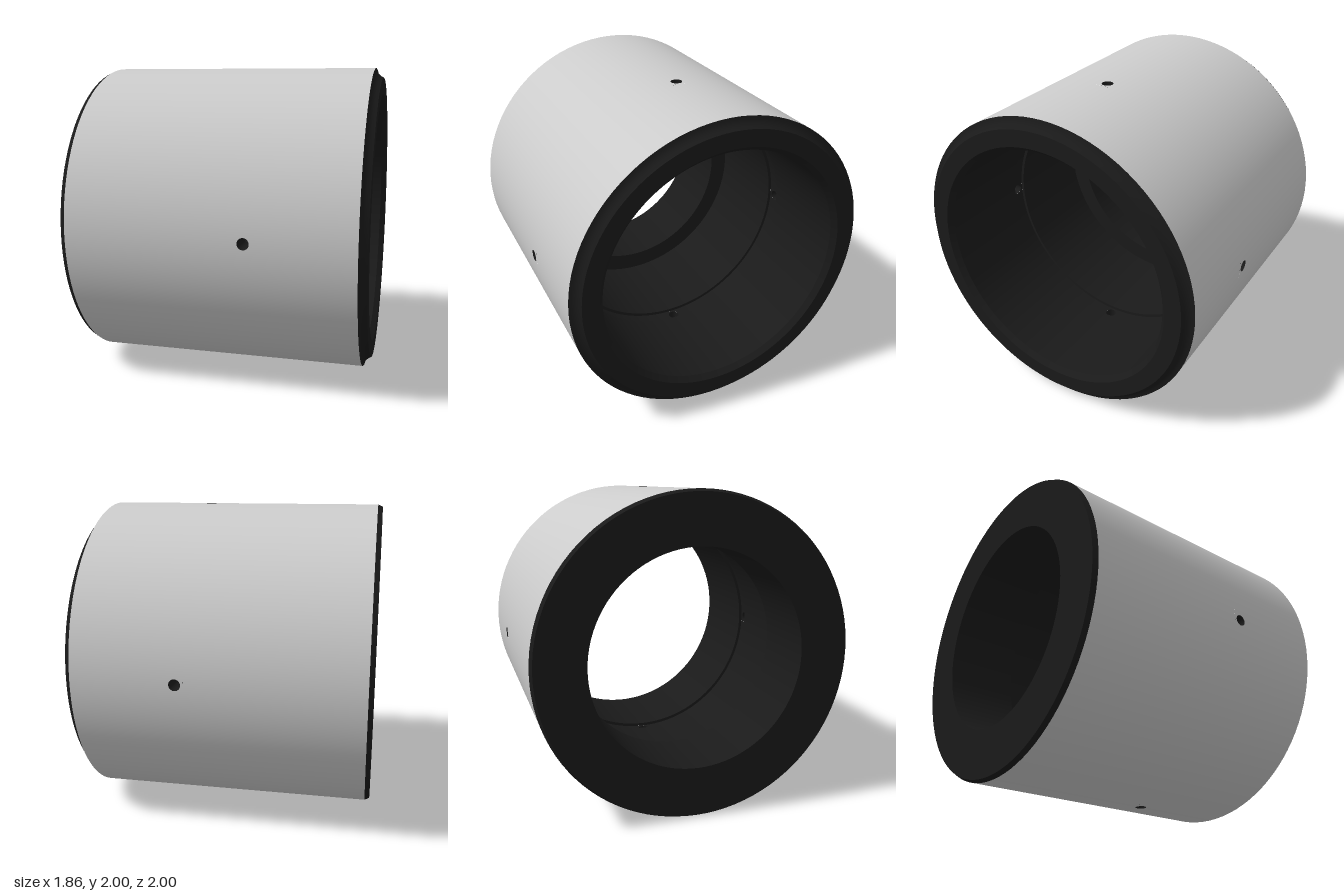
import * as THREE from 'three';

const SEG = 96, STEP = (Math.PI * 2) / SEG;
const HOLE_X = 0.22, HOLE_R = 0.036, HALF = 0.05;
const R_OUT = 1, R_BORE = 0.8, R_GROOVE = 0.82, R_LIP = 0.675;

const grey = new THREE.MeshStandardMaterial({ color: 0xcccccc });
const dark = new THREE.MeshStandardMaterial({ color: 0x1a1a1a });
const darkInside = new THREE.MeshStandardMaterial({ color: 0x1a1a1a, side: THREE.BackSide });

// Surface turned about the x axis from [x, radius] points
function turned(name, pts, mat, start = 0, count = SEG) {
  const profile = pts.map(([x, r]) => new THREE.Vector2(r, x));
  const geo = new THREE.LatheGeometry(profile, count, start, count * STEP);
  geo.rotateZ(-Math.PI / 2);
  const mesh = new THREE.Mesh(geo, mat);
  mesh.name = name;
  return mesh;
}

// Curved square patch with a round hole, on a cylinder of radius r
function holePatch(name, r, phi0, outward, mat) {
  const n = 32, pos = [], nor = [], idx = [], s = outward ? 1 : -1;
  const add = (x, phi) => {
    const sy = -Math.sin(phi), cz = Math.cos(phi);
    pos.push(x, r * sy, r * cz);
    nor.push(0, s * sy, s * cz);
  };
  for (let i = 0; i <= n; i++) {
    const t = (i / n) * Math.PI * 2, c = Math.cos(t), d = Math.sin(t);
    const k = 1 / Math.max(Math.abs(c), Math.abs(d));
    add(HOLE_X + HOLE_R * c, phi0 + (HOLE_R * d) / r);
    add(HOLE_X + HALF * c * k, phi0 + STEP * d * k);
    if (i === n) break;
    const a = 2 * i, o = a + 1, b = a + 2, e = a + 3;
    if (outward) idx.push(a, e, o, a, b, e);
    else idx.push(a, o, e, a, e, b);
  }
  const geo = new THREE.BufferGeometry();
  geo.setAttribute('position', new THREE.Float32BufferAttribute(pos, 3));
  geo.setAttribute('normal', new THREE.Float32BufferAttribute(nor, 3));
  geo.setIndex(idx);
  const mesh = new THREE.Mesh(geo, mat);
  mesh.name = name;
  return mesh;
}

export function createModel() {
  const sleeve = new THREE.Group();
  sleeve.name = 'sleeve';
  const x0 = HOLE_X - HALF, x1 = HOLE_X + HALF;

  // Outer wall either side of the drilled band
  sleeve.add(
    turned('outerWallRight', [[-0.9, R_OUT], [x0, R_OUT]], grey),
    turned('outerWallLeft', [[x1, R_OUT], [0.875, R_OUT]], grey),
  );

  // Ends, bore and lip; each run is smooth, edges between runs are sharp
  const runs = {
    coveEdge: [[0.875, 1], [0.88, 0.98], [0.89, 0.963], [0.905, 0.949], [0.925, 0.938]],
    openEndFace: [[0.925, 0.938], [0.925, 0.83]],
    boreChamfer: [[0.925, 0.83], [0.89, R_BORE]],
    boreFront: [[0.89, R_BORE], [x1, R_BORE]],
    grooveFrontSide: [[x1, R_BORE], [x1, R_GROOVE]],
    grooveBackSide: [[x0, R_GROOVE], [x0, R_BORE]],
    boreBack: [[x0, R_BORE], [-0.46, R_BORE]],
    lipStep: [[-0.46, R_BORE], [-0.46, R_LIP]],
    lipBore: [[-0.46, R_LIP], [-0.93, R_LIP]],
    lipEndFace: [[-0.93, R_LIP], [-0.93, 0.985]],
    endChamfer: [[-0.93, 0.985], [-0.9, 1]],
  };
  for (const [name, pts] of Object.entries(runs)) sleeve.add(turned(name, pts, dark));

  // Drilled band: four radial holes joined by plain arcs
  for (let i = 0; i < 4; i++) {
    const phi = (i * Math.PI) / 2, start = phi + STEP, count = SEG / 4 - 2;
    sleeve.add(
      holePatch('outerHoleRim', R_OUT, phi, true, grey),
      turned('outerBand', [[x0, R_OUT], [x1, R_OUT]], grey, start, count),
      holePatch('grooveHoleRim', R_GROOVE, phi, false, dark),
      turned('grooveFloor', [[x1, R_GROOVE], [x0, R_GROOVE]], dark, start, count),
    );
    const len = R_OUT - R_GROOVE, mid = (R_OUT + R_GROOVE) / 2;
    const geo = new THREE.CylinderGeometry(HOLE_R, HOLE_R, len, 32, 1, true);
    geo.translate(0, mid, 0).rotateX(phi).translate(HOLE_X, 0, 0);
    const hole = new THREE.Mesh(geo, darkInside);
    hole.name = 'oilHole';
    sleeve.add(hole);
  }

  sleeve.position.y = 1;
  const model = new THREE.Group();
  model.name = 'bushing';
  model.add(sleeve);
  return model;
}
